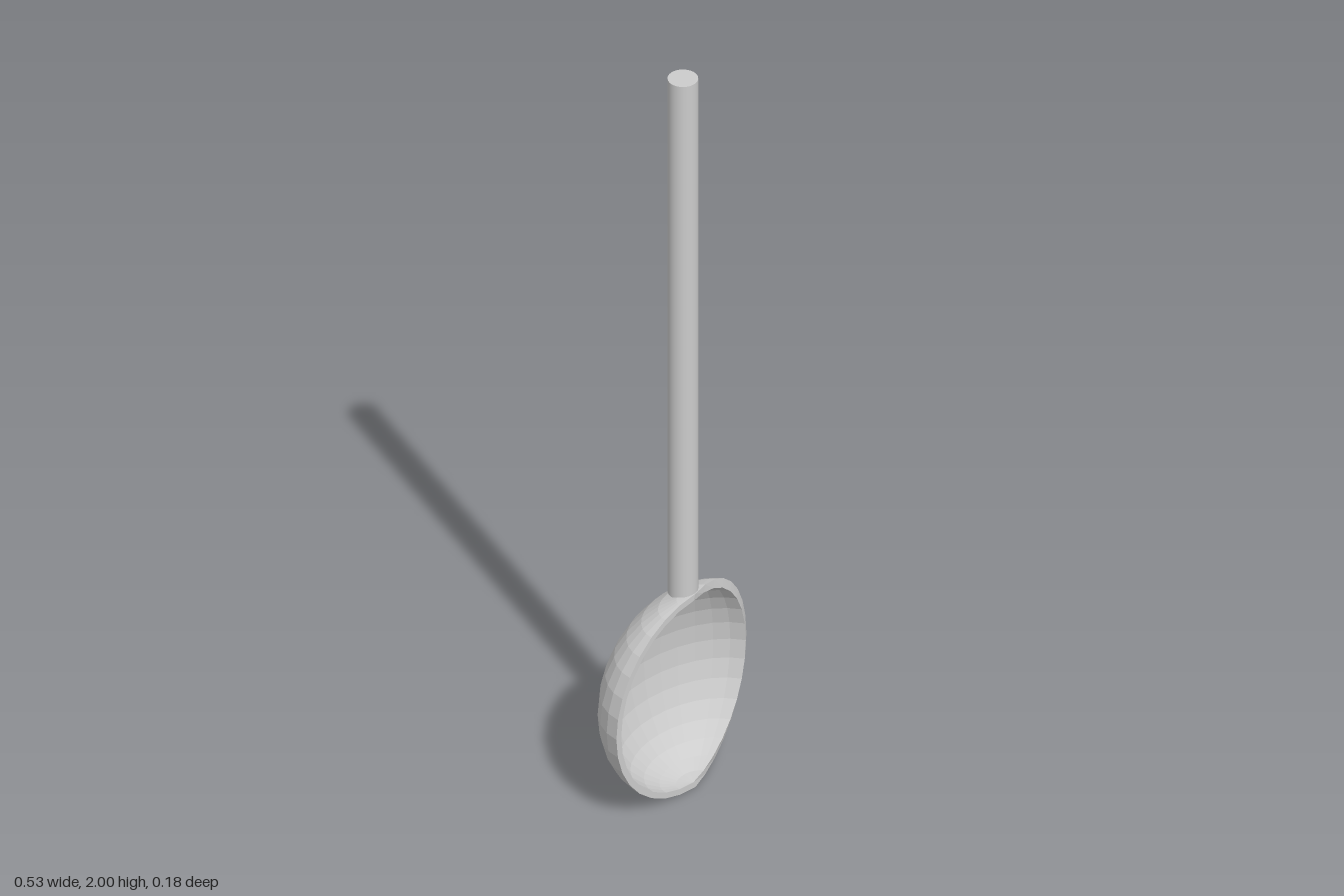
import * as THREE from 'three';

const ARC = 14, ROWS = 16;

// Point on a squashed ellipsoid: phi sweeps from +x round the back to -x, theta runs top to bottom
function shellPoint(cx, rx, ry, rz, phi, theta) {
  return [
    cx + rx * Math.sin(theta) * Math.cos(phi),
    0.275 + ry * Math.cos(theta),
    0.09 - rz * Math.sin(theta) * Math.sin(phi),
  ];
}

// Thick open shell: each row is a closed loop, outside first and then back along the inside
function bowlGeometry() {
  const positions = [], index = [];
  const loop = 2 * (ARC + 1);
  for (let j = 0; j <= ROWS; j++) {
    const theta = (j / ROWS) * Math.PI;
    for (let i = 0; i <= ARC; i++) {
      const phi = THREE.MathUtils.lerp(Math.PI / 8, Math.PI, i / ARC);
      positions.push(...shellPoint(0.01, 0.274, 0.275, 0.183, phi, theta));
    }
    for (let i = ARC; i >= 0; i--) {
      const phi = THREE.MathUtils.lerp(Math.PI / 10, Math.PI, i / ARC);
      positions.push(...shellPoint(0.003, 0.25, 0.258, 0.167, phi, theta));
    }
  }
  for (let j = 0; j < ROWS; j++) {
    for (let i = 0; i < loop; i++) {
      const a = j * loop + i, b = j * loop + (i + 1) % loop;
      index.push(a, a + loop, b, b, a + loop, b + loop);
    }
  }
  const geometry = new THREE.BufferGeometry();
  geometry.setAttribute('position', new THREE.Float32BufferAttribute(positions, 3));
  geometry.setIndex(index);
  const flat = geometry.toNonIndexed();
  flat.computeVertexNormals();
  return flat;
}

export function createModel() {
  const model = new THREE.Group();
  model.name = 'ladle';

  // Scoop, open towards the front
  const bowl = new THREE.Mesh(
    bowlGeometry(),
    new THREE.MeshStandardMaterial({ color: 0xcccccc, flatShading: true })
  );
  bowl.name = 'bowl';
  model.add(bowl);

  // Straight round handle standing on the top of the bowl
  const bottom = 0.54, top = 2;
  const handle = new THREE.Mesh(
    new THREE.CylinderGeometry(0.036, 0.036, top - bottom, 32),
    new THREE.MeshStandardMaterial({ color: 0xcccccc })
  );
  handle.name = 'handle';
  handle.position.set(0.009, (top + bottom) / 2, 0.051);
  model.add(handle);

  return model;
}
